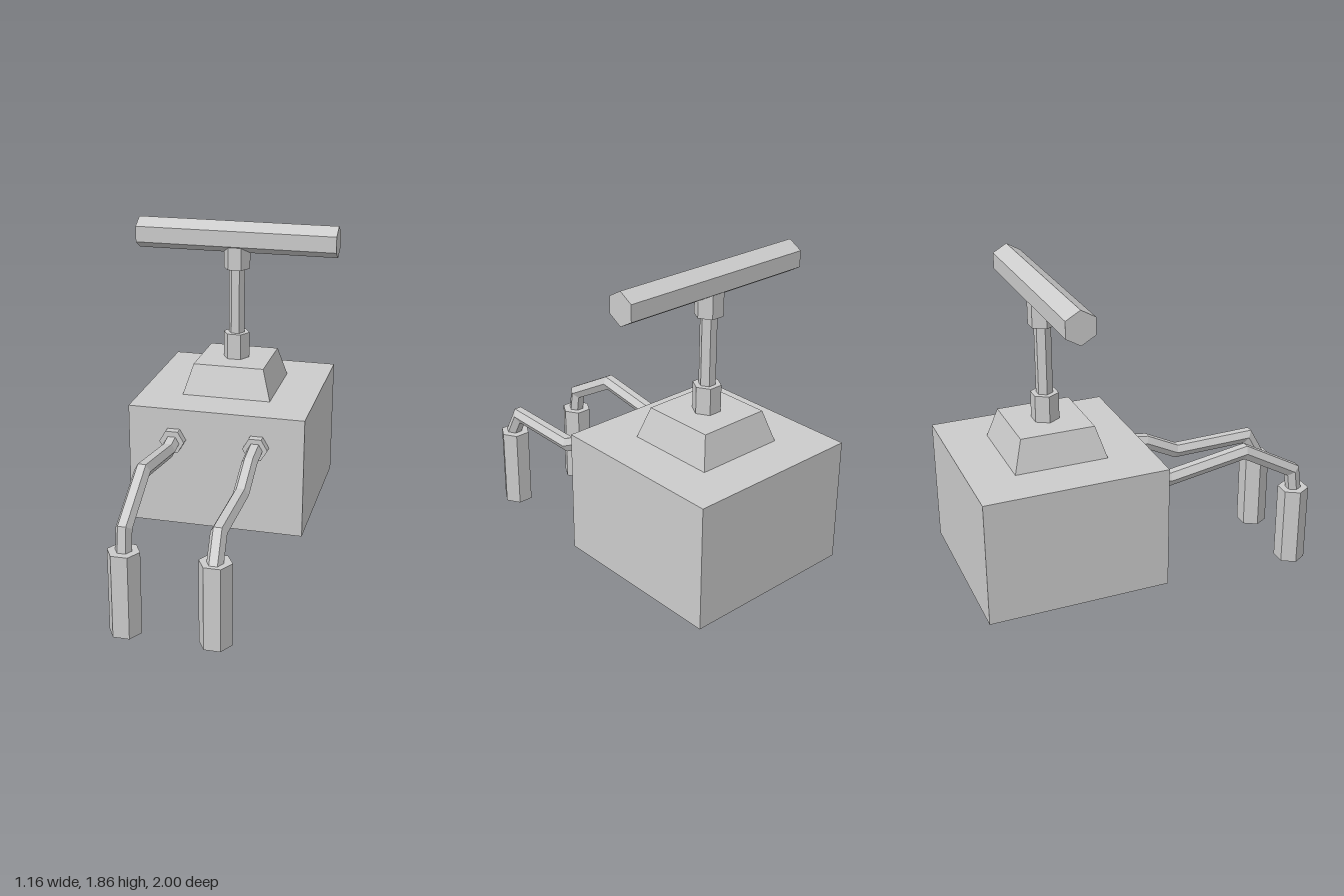
import * as THREE from 'three';

const material = new THREE.MeshStandardMaterial({ color: 0xcccccc, flatShading: true, side: THREE.DoubleSide });

function add(parent, name, geometry, x = 0, y = 0, z = 0) {
  const mesh = new THREE.Mesh(geometry, material);
  mesh.name = name;
  mesh.position.set(x, y, z);
  parent.add(mesh);
  return mesh;
}

// Upright hexagonal prism with corners pointing along +-x
const hexPrism = (radius, height) => new THREE.CylinderGeometry(radius, radius, height, 6).rotateY(Math.PI / 2);

// Hexagonal tube swept along [z, y] points with mitred bends
function bentTube(points, radius) {
  const path = points.map(([z, y]) => new THREE.Vector2(z, y));
  const positions = [], indices = [];
  path.forEach((p, i) => {
    const before = p.clone().sub(path[Math.max(i - 1, 0)]).normalize();
    const after = path[Math.min(i + 1, path.length - 1)].clone().sub(p).normalize();
    const tangent = before.clone().add(after).normalize();
    const reference = i === 0 ? after : before;
    const miter = 1 / tangent.dot(reference);
    for (let k = 0; k < 6; k++) {
      const a = (k * Math.PI) / 3;
      const offset = radius * Math.sin(a) * miter;
      positions.push(radius * Math.cos(a), p.y + tangent.x * offset, p.x - tangent.y * offset);
      if (i > 0) {
        const c = i * 6 + k, d = i * 6 + ((k + 1) % 6);
        indices.push(c - 6, d - 6, d, c - 6, d, c);
      }
    }
  });
  const geometry = new THREE.BufferGeometry();
  geometry.setAttribute('position', new THREE.Float32BufferAttribute(positions, 3));
  geometry.setIndex(indices);
  geometry.computeVertexNormals();
  return geometry;
}

export function createModel() {
  const model = new THREE.Group();
  const cz = -0.495;

  // Main box and tapered pedestal
  add(model, 'body', new THREE.BoxGeometry(1.01, 0.7, 1.01), 0, 0.536, cz);
  const pedestal = new THREE.CylinderGeometry(0.205 * Math.SQRT2, 0.257 * Math.SQRT2, 0.174, 4).rotateY(Math.PI / 4);
  add(model, 'pedestal', pedestal, 0, 0.973, cz);

  // T-shaped plunger
  const plunger = new THREE.Group();
  plunger.name = 'plunger';
  model.add(plunger);
  add(plunger, 'lowerCollar', hexPrism(0.077, 0.15), 0, 1.135, cz);
  add(plunger, 'shaft', hexPrism(0.046, 0.6), 0, 1.4, cz);
  add(plunger, 'upperCollar', hexPrism(0.077, 0.15), 0, 1.665, cz);
  const bar = new THREE.CylinderGeometry(0.09, 0.09, 1.16, 6).rotateY(Math.PI / 2).rotateZ(Math.PI / 2);
  add(plunger, 'handlebar', bar, 0, 1.771, cz);

  // Cables: nut on the front wall, bent tube and hanging grip
  const cables = [
    { name: 'leftCable', x: 0.237, path: [[0.02, 0.708], [0.19, 0.682], [0.385, 0.585], [0.86, 0.593], [0.945, 0.44]] },
    { name: 'rightCable', x: -0.241, path: [[0.02, 0.705], [0.13, 0.685], [0.59, 0.758], [0.905, 0.58], [0.925, 0.44]] },
  ];
  for (const { name, x, path } of cables) {
    const cable = new THREE.Group();
    cable.name = name;
    cable.position.x = x;
    model.add(cable);
    add(cable, 'nut', hexPrism(0.071, 0.055).rotateX(Math.PI / 2), 0, 0.707, 0.029);
    add(cable, 'tube', bentTube(path, 0.044));
    add(cable, 'grip', hexPrism(0.088, 0.464), 0, 0.232, 0.923);
  }
  return model;
}
